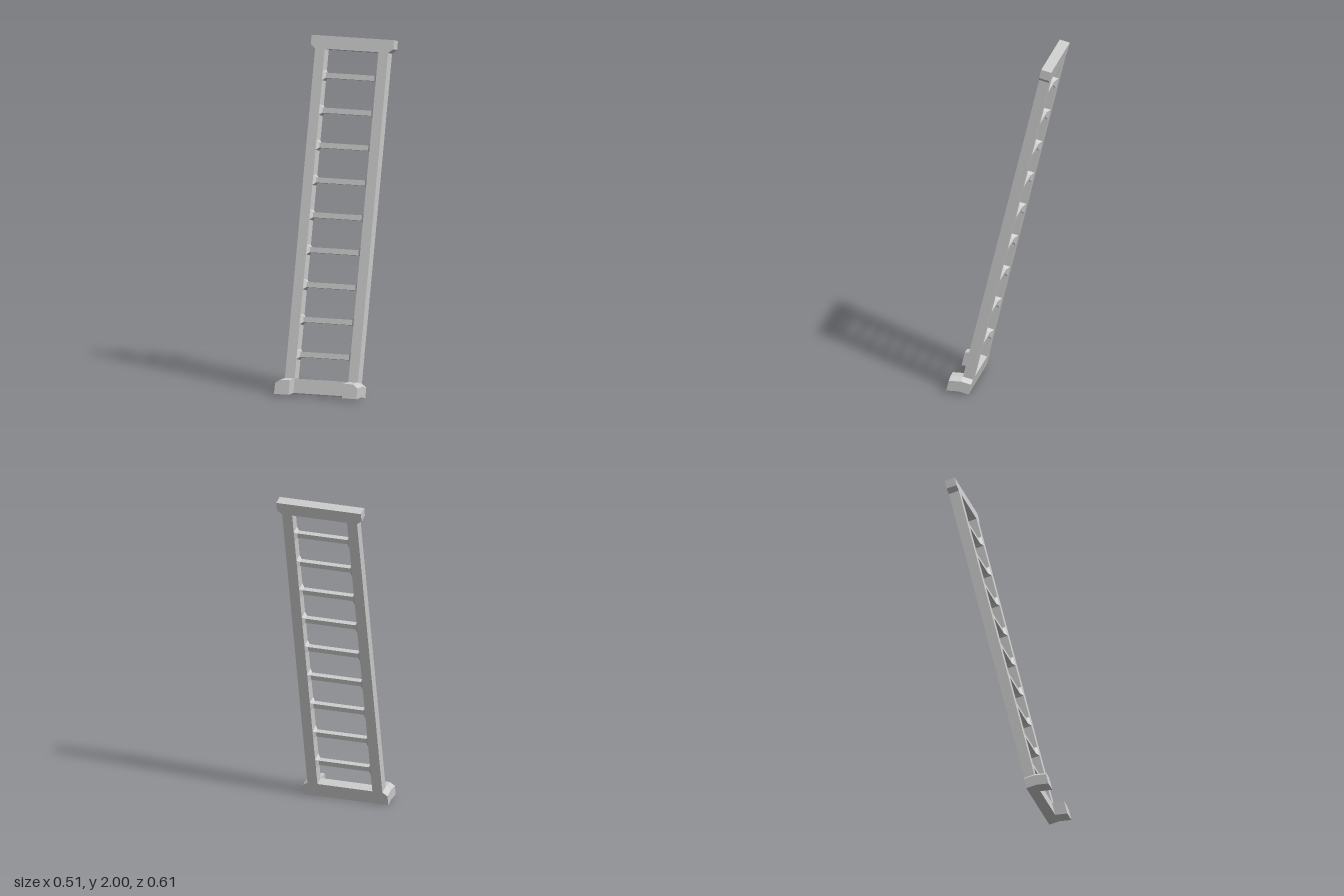
import * as THREE from 'three';

const material = new THREE.MeshStandardMaterial({ color: 0xcccccc, flatShading: true });

// Ladder dimensions, measured along its own leaning axes
const LENGTH = 2.043, DEPTH = 0.06, LEAN = 0.2375;
const INNER = 0.165, OUTER = 0.225, WIDE = 0.254;
const FOOT_H = 0.083, CAP_H = 0.075;

function add(parent, name, geometry, x = 0, y = 0, z = 0) {
  const mesh = new THREE.Mesh(geometry, material);
  mesh.name = name;
  mesh.position.set(x, y, z);
  parent.add(mesh);
  return mesh;
}

// Move every vertex of a geometry by a rule, then give it flat normals
function reshape(geometry, rule) {
  const g = geometry.toNonIndexed();
  const p = g.attributes.position;
  for (let i = 0; i < p.count; i++) p.setXYZ(i, ...rule(p.getX(i), p.getY(i), p.getZ(i)));
  g.computeVertexNormals();
  return g;
}

// Square rung that flares out to the full rail depth at both ends
function rungGeometry() {
  return reshape(new THREE.BoxGeometry(2 * INNER, DEPTH, DEPTH, 3, 1, 1), (x, y, z) =>
    Math.abs(x) < 0.1 ? [Math.sign(x) * 0.15, y / 2, z / 2] : [x, y, z]);
}

// Foot: back half follows the lean, front half runs level; outer top edge is chamfered
function footGeometry(side) {
  const heights = [0, 0.062, FOOT_H];
  const stations = [[0, 0], [0, DEPTH], [-0.0168, DEPTH + 0.0695]]; // [rise, forward]
  return reshape(new THREE.BoxGeometry(2, 2, 2, 1, 2, 2), (x, y, z) => {
    const level = Math.round(y) + 1;
    const [rise, forward] = stations[Math.round(z) + 1];
    const outer = level === 2 ? OUTER : WIDE;
    return [side * (x * side > 0 ? outer : INNER), heights[level] + rise, forward];
  });
}

// Wide top beam with chamfered lower corners
function capGeometry() {
  const shape = new THREE.Shape([
    [-OUTER, 0], [OUTER, 0], [WIDE, 0.023], [WIDE, CAP_H], [-WIDE, CAP_H], [-WIDE, 0.023],
  ].map(([x, y]) => new THREE.Vector2(x, y)));
  return new THREE.ExtrudeGeometry(shape, { depth: DEPTH, bevelEnabled: false });
}

export function createModel() {
  const model = new THREE.Group();
  model.name = 'ladder';

  // Everything is built upright, then leaned back about its lower back edge
  const frame = new THREE.Group();
  frame.name = 'leaningFrame';
  frame.rotation.x = -LEAN;
  frame.position.z = 0.175;
  model.add(frame);

  // Side rails and feet
  const railH = LENGTH - CAP_H - FOOT_H;
  for (const side of [1, -1]) {
    const label = side > 0 ? 'left' : 'right';
    add(frame, label + 'Rail', new THREE.BoxGeometry(OUTER - INNER, railH, DEPTH),
      side * (INNER + OUTER) / 2, FOOT_H + railH / 2, DEPTH / 2);
    add(frame, label + 'Foot', footGeometry(side));
  }

  // Bottom and top beams
  add(frame, 'bottomBeam', new THREE.BoxGeometry(2 * INNER, FOOT_H, DEPTH), 0, FOOT_H / 2, DEPTH / 2);
  add(frame, 'topBeam', capGeometry(), 0, LENGTH - CAP_H, 0);

  // Rungs
  const rung = rungGeometry();
  for (let i = 0; i < 9; i++) add(frame, 'rung' + (i + 1), rung, 0, 0.224 + i * 0.1994, DEPTH / 2);

  return model;
}
